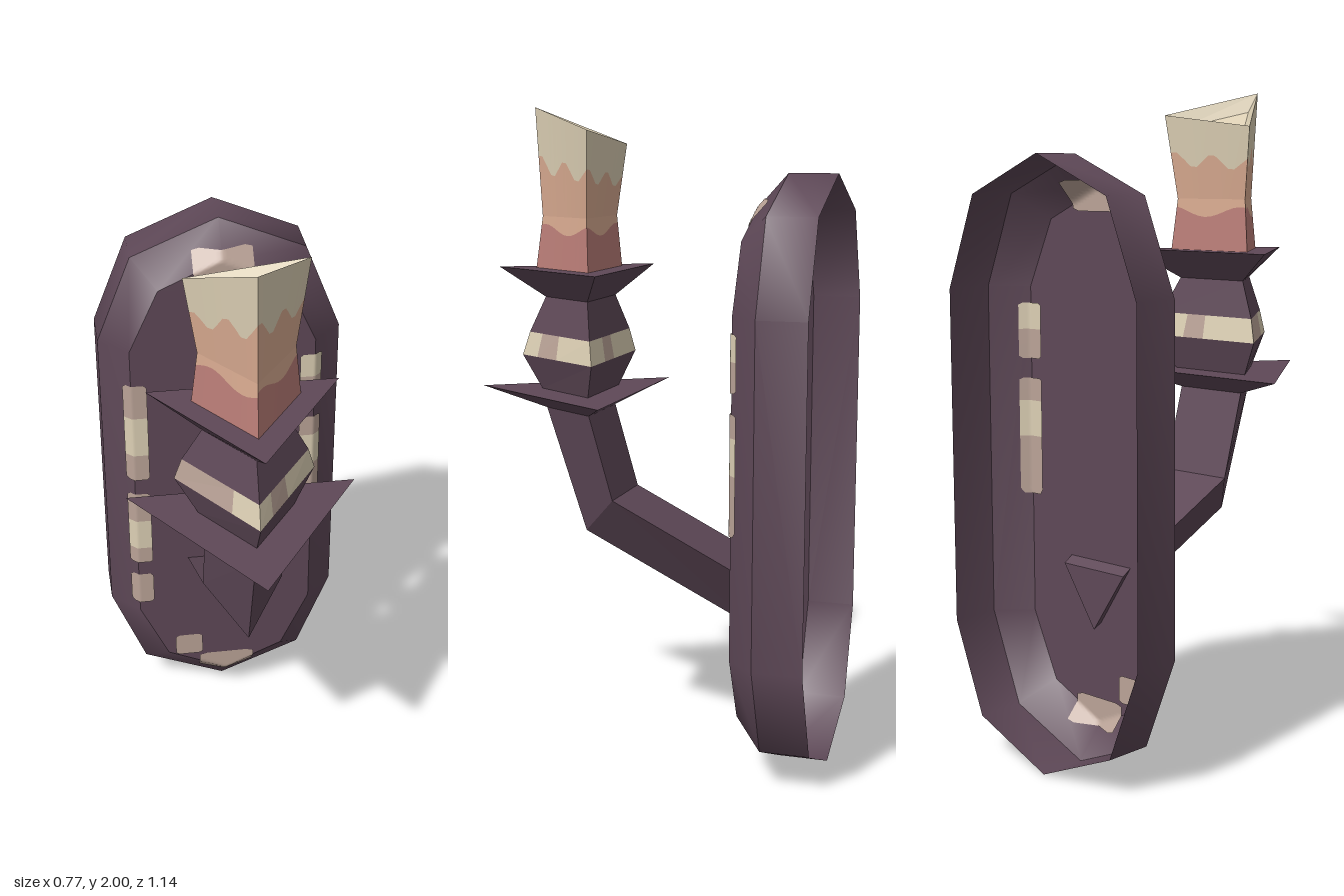
import * as THREE from 'three';

const mat = (name, color) => {
  const m = new THREE.MeshStandardMaterial({ color, side: THREE.DoubleSide });
  m.name = name;
  return m;
};

// Triangular ring: half width h, back edge (yb, zb), front apex (ya, za)
const tri = (h, yb, zb, ya = yb, za) => [[-h, yb, zb], [0, ya, za], [h, yb, zb]];
const lerp = (a, b, t) => a.map((v, i) => v + (b[i] - v) * t);

// Flat-faced geometry collected quad by quad
class Faces {
  constructor() { this.p = []; }
  tri(a, b, c) { this.p.push(...a, ...b, ...c); }
  quad(a, b, c, d) { this.tri(a, b, c); this.tri(a, c, d); }
  loft(rings) {
    for (let r = 0; r + 1 < rings.length; r++) {
      const lo = rings[r], up = rings[r + 1];
      for (let i = 0; i < 3; i++) {
        const j = (i + 1) % 3;
        this.quad(lo[i], lo[j], up[j], up[i]);
      }
    }
    return this;
  }
  mesh(name, material) {
    const g = new THREE.BufferGeometry();
    g.setAttribute('position', new THREE.Float32BufferAttribute(this.p, 3));
    g.computeVertexNormals();
    const m = new THREE.Mesh(g, material);
    m.name = name;
    return m;
  }
}

const H = 1.805, FRONT = -0.33, BEVEL = -0.42, BACK = -0.57;

// Full counter-clockwise outline from the lower right quarter
function outline(quarter) {
  const right = [...quarter, ...quarter.slice().reverse().map(([x, y]) => [x, H - y])];
  const left = right.slice(1, -1).reverse().map(([x, y]) => [-x, y]);
  return [...right, ...left];
}

// Smooth wall between two outlines at two depths
function wall(a, za, b, zb) {
  const n = a.length, pos = [], idx = [];
  a.forEach(([x, y]) => pos.push(x, y, za));
  b.forEach(([x, y]) => pos.push(x, y, zb));
  for (let i = 0; i < n; i++) {
    const j = (i + 1) % n;
    idx.push(i, j, n + j, i, n + j, n + i);
  }
  const g = new THREE.BufferGeometry();
  g.setAttribute('position', new THREE.Float32BufferAttribute(pos, 3));
  g.setIndex(idx);
  g.computeVertexNormals();
  return g;
}

// Depth of the plate's face at a point, following the bevel
function plateZ(x, y) {
  const ax = Math.abs(x), ay = Math.min(y, H - y);
  const side = (ax - 0.295) / 0.092;
  const end = (0.1 + 0.45 * ax - ay) / 0.1;
  return FRONT - 0.09 * Math.max(0, side, end);
}

export function createModel() {
  const purple = mat('darkPurple', 0x5e4857);
  const cream = mat('paleCream', 0xdccfb4);
  const pink = mat('dustyCream', 0xbaa397);
  const orange = mat('warmOrange', 0xd8aa90);
  const red = mat('dullRed', 0xbb7e78);

  const model = new THREE.Group();
  model.name = 'wallSconce';

  // Wall plate: open shell with bevelled rim
  const plate = new THREE.Group();
  plate.name = 'wallPlate';
  const outer = outline([[0, 0], [0.275, 0.115], [0.387, 0.395]]);
  const inner = outline([[0, 0.1], [0.2, 0.19], [0.295, 0.395]]);
  const addPlate = (name, g) => {
    const m = new THREE.Mesh(g, purple);
    m.name = name;
    plate.add(m);
  };
  addPlate('plateSide', wall(outer, BACK, outer, BEVEL));
  addPlate('plateBevel', wall(outer, BEVEL, inner, FRONT));
  const face = new THREE.ShapeGeometry(new THREE.Shape(inner.map(([x, y]) => new THREE.Vector2(x, y))));
  addPlate('plateFace', face.translate(0, 0, FRONT));
  model.add(plate);

  // Worn paint patches, thin sheets on both sides of the shell
  const worn = new THREE.Group();
  worn.name = 'wornPaint';
  // x0, x1, y0, y1, material, rounded lower end, rounded upper end
  const patches = [
    [-0.32, -0.245, 1.17, 1.29, pink, 0, 1], [-0.32, -0.245, 1.03, 1.17, cream, 0, 0],
    [-0.32, -0.245, 0.935, 1.03, pink, 1, 0],
    [-0.32, -0.245, 0.77, 0.88, pink, 0, 1], [-0.32, -0.245, 0.66, 0.77, cream, 0, 0],
    [-0.32, -0.245, 0.6, 0.66, pink, 1, 0], [-0.32, -0.245, 0.43, 0.55, pink, 1, 1],
    [0.247, 0.32, 1.28, 1.36, cream, 0, 1], [0.247, 0.32, 1.19, 1.28, pink, 1, 0],
    [0.247, 0.32, 1.06, 1.13, pink, 0, 1], [0.247, 0.32, 0.95, 1.06, cream, 0, 0],
    [0.247, 0.32, 0.77, 0.95, pink, 1, 0],
    [-0.175, -0.08, 0.18, 0.265, pink, 1, 1], [-0.09, 0.1, 0.09, 0.175, pink, 1, 1],
    [-0.09, 0.1, 1.64, 1.73, pink, 1, 1],
  ];
  for (const [x0, x1, y0, y1, material, lo, hi] of patches) {
    for (const offset of [0.005, -0.005]) {
      const g = new THREE.PlaneGeometry(x1 - x0, y1 - y0, 16, 12);
      const p = g.attributes.position;
      for (let i = 0; i < p.count; i++) {
        const row = Math.floor(i / 17);
        const k = (row === 0 && hi) || (row === 12 && lo) ? 0.75 : 1;
        const x = p.getX(i) * k + (x0 + x1) / 2, y = p.getY(i) + (y0 + y1) / 2;
        p.setXYZ(i, x, y, plateZ(x, y) + offset);
      }
      g.computeVertexNormals();
      const m = new THREE.Mesh(g, material);
      m.name = 'paintPatch';
      worn.add(m);
    }
  }
  model.add(worn);

  // Bent arm flowing into the lower drip tray, its end poking through the plate
  const arm = new Faces();
  const end = tri(0.125, 0.58, -0.36, 0.395, -0.36);
  arm.tri(end[0], end[2], end[1]);
  const bulbLow = tri(0.21, 1.235, 0.125, 1.235, 0.43);
  const bulbHigh = tri(0.188, 1.308, 0.138, 1.308, 0.405);
  arm.loft([
    end,
    tri(0.125, 0.6, FRONT, 0.41, FRONT),
    tri(0.125, 0.81, 0.09, 0.68, 0.22),
    tri(0.125, 1.07, 0.165, 1.07, 0.35),
    tri(0.35, 1.13, 0.055, 1.13, 0.567),
    tri(0.145, 1.13, 0.16, 1.13, 0.365),
    bulbLow,
  ]);
  model.add(arm.mesh('armAndLowerTray', purple));

  // Bulb top flaring into the candle tray
  const tray = new Faces().loft([
    bulbHigh,
    tri(0.13, 1.42, 0.165, 1.42, 0.35),
    tri(0.283, 1.51, 0.085, 1.51, 0.505),
  ]);
  const rim = tri(0.283, 1.51, 0.085, 1.51, 0.505);
  tray.tri(...rim);
  model.add(tray.mesh('upperTray', purple));

  // Painted band round the bulb
  const bandPale = new Faces(), bandDusty = new Faces();
  const cuts = [[0, 0.68, 1], [0, 0.22, 0.5, 1], [0, 0.3, 0.5, 1]];
  cuts.forEach((cut, i) => {
    const j = (i + 1) % 3;
    for (let c = 0; c + 1 < cut.length; c++) {
      const target = (i === 0 ? c === 0 : c === 1) ? bandDusty : bandPale;
      const at = (ring, t) => lerp(ring[i], ring[j], t);
      target.quad(at(bulbLow, cut[c]), at(bulbLow, cut[c + 1]), at(bulbHigh, cut[c + 1]), at(bulbHigh, cut[c]));
    }
  });
  model.add(bandPale.mesh('bulbBandPale', cream), bandDusty.mesh('bulbBandDusty', pink));

  // Candle with wavy colour bands
  const rings = [
    tri(0.158, 1.51, 0.152, 1.51, 0.38),
    tri(0.14, 1.67, 0.162, 1.67, 0.357),
    [[-0.175, 1.89, 0.14], [-0.005, 2, 0.38], [0.18, 1.93, 0.145]],
  ];
  const candleRed = new Faces(), candleOrange = new Faces(), candleCream = new Faces();
  const N = 12;
  for (let i = 0; i < 3; i++) {
    const at = (t, v) => {
      const k = v < 1 ? 0 : 1;
      const ring = (r) => lerp(rings[r][i], rings[r][(i + 1) % 3], t);
      return lerp(ring(k), ring(k + 1), v - k);
    };
    const low = (t) => 0.75 + 0.1 * Math.sin(Math.PI * 2 * t + i);
    const high = (t) => 1.48 + 0.09 * Math.sin(Math.PI * 4 * t + 1);
    const strip = (faces, f, g) => {
      for (let c = 0; c < N; c++) {
        const s = c / N, t = (c + 1) / N;
        faces.quad(at(s, f(s)), at(t, f(t)), at(t, g(t)), at(s, g(s)));
      }
    };
    strip(candleRed, () => 0, low);
    strip(candleOrange, low, () => 1);
    strip(candleOrange, () => 1, high);
    strip(candleCream, high, () => 2);
  }
  // Sunken candle top
  const floor = [[-0.125, 1.865, 0.165], [0, 1.94, 0.34], [0.135, 1.89, 0.173]];
  candleCream.loft([rings[2], floor]).tri(...floor);
  model.add(
    candleRed.mesh('candleBase', red),
    candleOrange.mesh('candleMiddle', orange),
    candleCream.mesh('candleTop', cream),
  );

  return model;
}
